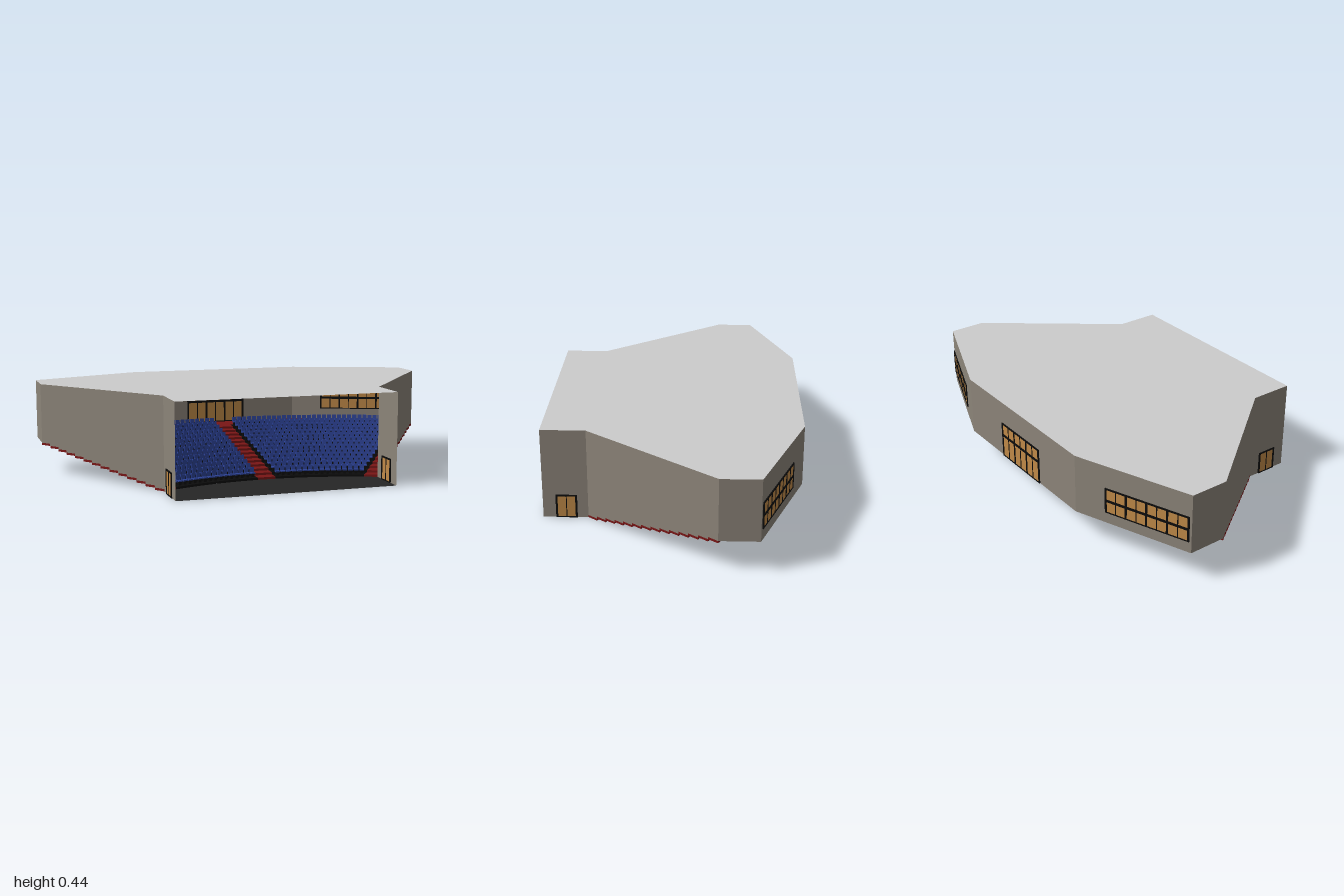
import * as THREE from 'three';
import { mergeGeometries } from 'three/addons/utils/BufferGeometryUtils.js';

const mat = (color, side = THREE.FrontSide) =>
  new THREE.MeshStandardMaterial({ color, side, flatShading: true });
const wallMat = mat(0x8c8479, THREE.DoubleSide);
const roofMat = mat(0xcccccc, THREE.DoubleSide);
const stageMat = mat(0x262626, THREE.DoubleSide);
const carpetMat = mat(0x7a1616, THREE.DoubleSide);
const stepMat = mat(0x0c0c0c);
const blueMat = mat(0x2c4296);
const frameMat = mat(0x0c0c0c);
const glassMat = mat(0xc08a48);

const TOP = 0.44, FLOOR = 0.15, ROWS = 14, H = FLOOR / ROWS;
const CZ = 1.6;                                   // centre of the curved rows
const SLOPE = 0.47 / 0.6;                         // flare of the side walls
const R0 = Math.hypot(0.53, CZ - 0.39), R1 = Math.hypot(1, CZ + 0.21);
const radius = i => R0 + (R1 - R0) * i / ROWS;

// boundary lines of the seating: x at z = 0.39, and flare
const WALL = [0.53, SLOPE], AISLE = [0.45, SLOPE], CENTRE = [0.045, 0];

// angle at which a boundary line crosses the arc of radius r
function angleAt([x0, k], r) {
  const c = x0 + k * (0.39 - CZ), q = 1 + k * k;
  const u = (-c * k + Math.sqrt(r * r * q - c * c)) / q;
  return Math.atan2(c + k * u, u);
}

// points [x, z] along an arc
function arc(r, a, b, n = 16) {
  return Array.from({ length: n + 1 }, (_, i) => {
    const t = a + (b - a) * i / n;
    return [r * Math.sin(t), CZ - r * Math.cos(t)];
  });
}

const planShape = pts => new THREE.Shape(pts.map(([x, z]) => new THREE.Vector2(x, -z)));

function add(parent, name, geometry, material) {
  const mesh = new THREE.Mesh(geometry, material);
  mesh.name = name;
  parent.add(mesh);
  return mesh;
}

function slab(parent, name, pts, y, material) {
  add(parent, name, new THREE.ShapeGeometry(planShape(pts)).rotateX(-Math.PI / 2), material).position.y = y;
}

// one curved step between two boundary lines
function step(i, lineA, signA, lineB, signB) {
  const ra = radius(i), rb = radius(i + 1);
  const pts = [
    ...arc(ra, signA * angleAt(lineA, ra), signB * angleAt(lineB, ra)),
    ...arc(rb, signB * angleAt(lineB, rb), signA * angleAt(lineA, rb))];
  return new THREE.ExtrudeGeometry(planShape(pts), { depth: H, bevelEnabled: false })
    .rotateX(-Math.PI / 2).translate(0, i * H, 0);
}

// upright wall from plan point p to q; bottom is a list of [distance, y]
function wall(parent, name, p, q, bottom) {
  const dx = q[0] - p[0], dz = q[1] - p[1], len = Math.hypot(dx, dz);
  const low = bottom || [[0, FLOOR], [len, FLOOR]];
  const shape = new THREE.Shape([...low, [len, TOP], [0, TOP]].map(v => new THREE.Vector2(...v)));
  const mesh = add(parent, name, new THREE.ShapeGeometry(shape), wallMat);
  mesh.position.set(p[0], 0, p[1]);
  mesh.rotation.y = Math.atan2(-dz, dx);
}

// framed glass of paired panes, standing at plan point c
function glazing(parent, name, c, angle, width, y0, y1, pairs, rail) {
  const group = new THREE.Group();
  group.name = name;
  group.position.set(c[0], 0, c[1]);
  group.rotation.y = angle;
  const box = (w, h, d, x, y) => new THREE.BoxGeometry(w, h, d).translate(x, y, 0);
  const h = y1 - y0, my = (y0 + y1) / 2, bars = [];
  for (let i = 0; i <= pairs * 2; i++) {
    const w = i % 2 ? 0.004 : 0.009;
    const x = (i / (pairs * 2) - 0.5) * (width - 0.009);
    bars.push(box(w, h, 0.01, x, my));
  }
  bars.push(box(width, 0.007, 0.01, 0, y1 - 0.0035), box(width, 0.005, 0.01, 0, y0 + 0.0025));
  if (rail) bars.push(box(width, 0.012, 0.01, 0, rail));
  add(group, 'frame', mergeGeometries(bars), frameMat);
  add(group, 'glass', box(width - 0.006, h - 0.004, 0.005, 0, my), glassMat);
  parent.add(group);
}

export function createModel() {
  const model = new THREE.Group();
  model.name = 'auditorium';

  // roof, stage floor and rear landing
  const half = [[0.53, 0.6], [0.53, 0.39], [1, -0.21], [1, -0.39], [0.45, -0.6]];
  const mirrored = half.map(([x, z]) => [-x, z]).reverse();
  slab(model, 'roof', [...half, ...mirrored], TOP, roofMat);
  const a0 = angleAt(WALL, R0), a1 = angleAt(WALL, R1);
  slab(model, 'stageFloor', [[-0.53, 0.6], ...arc(R0, -a0, a0, 32), [0.53, 0.6]], 0, stageMat);
  slab(model, 'rearLanding', [...arc(R1, -a1, a1, 32), [1, -0.39], [0.45, -0.6], [-0.45, -0.6], [-1, -0.39]],
    FLOOR, carpetMat);

  // stepped lower edge of the flared walls
  const stairEdge = [];
  for (let i = 0; i < ROWS; i++) {
    for (const r of [radius(i), radius(i + 1)]) {
      const t = angleAt(WALL, r);
      stairEdge.push([Math.hypot(r * Math.sin(t) - 0.53, CZ - r * Math.cos(t) - 0.39), (i + 1) * H]);
    }
  }

  // walls, windows and stage doors on both sides
  for (const s of [1, -1]) {
    const side = s > 0 ? 'left' : 'right';
    const [a, b, c, d, e] = half.map(([x, z]) => [s * x, z]);
    wall(model, side + 'StageWall', a, b, [[0, 0], [0.21, 0]]);
    wall(model, side + 'FlaredWall', b, c, stairEdge);
    wall(model, side + 'SideWall', c, d);
    wall(model, side + 'AngledRearWall', d, e);
    const f = 0.375;
    glazing(model, side + 'Window', [d[0] + (e[0] - d[0]) * f, d[1] + (e[1] - d[1]) * f],
      Math.atan2(d[1] - e[1], e[0] - d[0]), 0.42, 0.205, 0.33, 4, 0.267);
    glazing(model, side + 'StageDoor', [s * 0.53, 0.49], Math.PI / 2, 0.1, 0, 0.115, 1);
  }
  wall(model, 'rearWall', [0.45, -0.6], [-0.45, -0.6]);
  glazing(model, 'rearEntrance', [0, -0.6], 0, 0.32, FLOOR, 0.33, 3, 0.265);

  // curved tiers: dark seating steps and carpeted aisles
  const tiers = [], aisles = [];
  for (let i = 0; i < ROWS; i++) {
    aisles.push(step(i, CENTRE, -1, CENTRE, 1));
    for (const s of [1, -1]) {
      tiers.push(step(i, CENTRE, s, AISLE, s));
      aisles.push(step(i, AISLE, s, WALL, s));
    }
  }
  add(model, 'seatingSteps', mergeGeometries(tiers), stepMat);
  add(model, 'aisleSteps', mergeGeometries(aisles), carpetMat);

  // rows of seats facing the stage
  const base = new THREE.BoxGeometry(0.014, 0.018, 0.014).translate(0, 0.009, 0);
  const seat = mergeGeometries([
    new THREE.BoxGeometry(0.022, 0.006, 0.022).translate(0, 0.02, 0.002),
    new THREE.BoxGeometry(0.022, 0.028, 0.005).rotateX(-0.12).translate(0, 0.031, -0.011)]);
  const seats = [], bases = [];
  for (let i = 0; i < ROWS; i++) {
    const r = (radius(i) + radius(i + 1)) / 2;
    const from = angleAt(CENTRE, r) + 0.004 / r, to = angleAt(AISLE, r) - 0.004 / r;
    const n = Math.floor((to - from) * r / 0.027);
    for (let j = 0; j < n; j++) {
      for (const s of [1, -1]) {
        const t = s * (from + (to - from) * (j + 0.5) / n);
        const place = g => g.clone().rotateY(-t)
          .translate(r * Math.sin(t), (i + 1) * H, CZ - r * Math.cos(t));
        seats.push(place(seat));
        bases.push(place(base));
      }
    }
  }
  add(model, 'seats', mergeGeometries(seats), blueMat);
  add(model, 'seatPedestals', mergeGeometries(bases), stepMat);
  return model;
}
